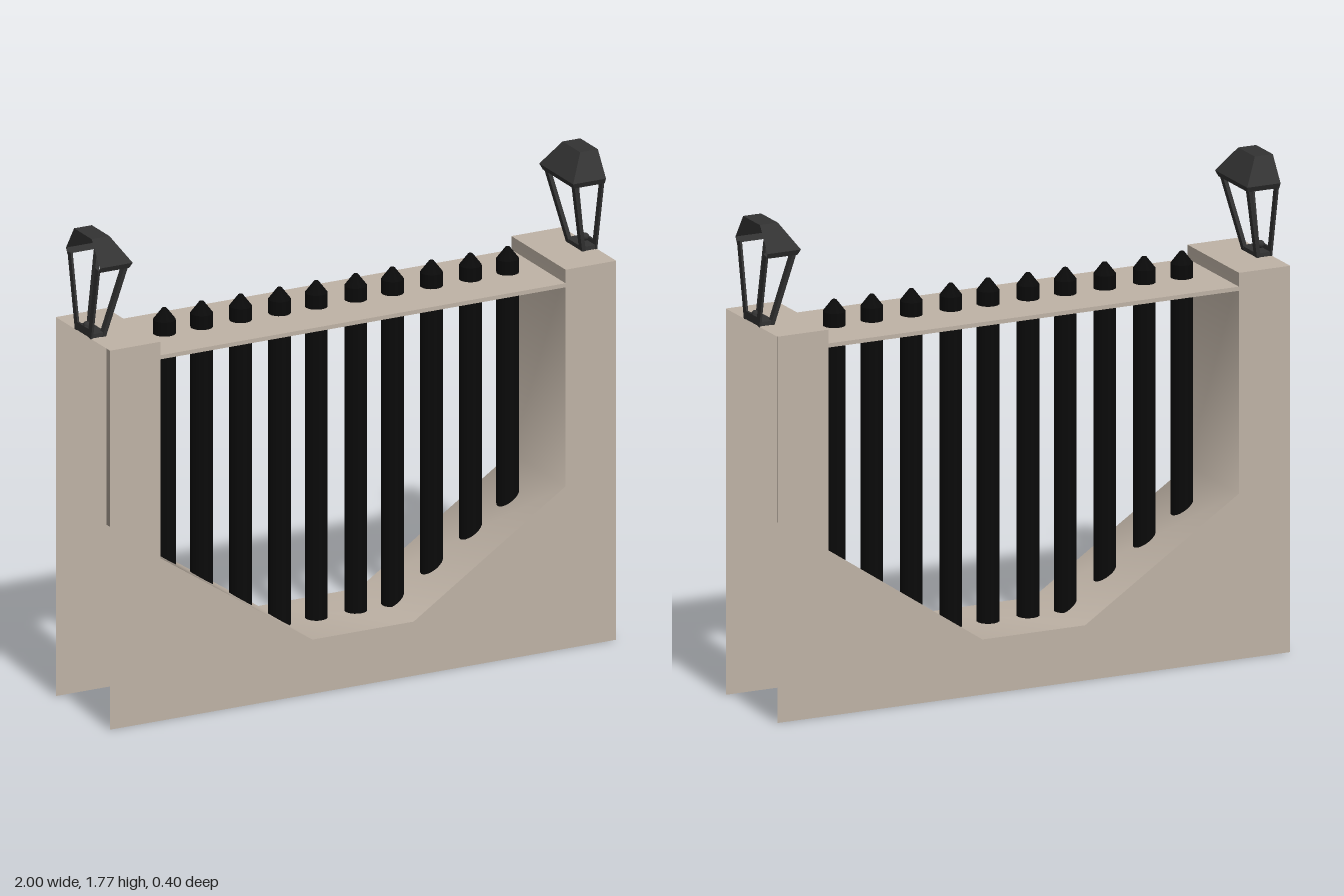
import * as THREE from 'three';

const stone = new THREE.MeshStandardMaterial({ color: 0xbfb3a6, side: THREE.DoubleSide });
stone.name = 'stone';
const iron = new THREE.MeshStandardMaterial({ color: 0x0a0a0a });
iron.name = 'blackIron';
const lampMetal = new THREE.MeshStandardMaterial({ color: 0x333333, side: THREE.DoubleSide });
lampMetal.name = 'lampMetal';

const V = (x, y, z) => new THREE.Vector3(x, y, z);

function add(parent, name, geometry, material, x = 0, y = 0, z = 0) {
  const mesh = new THREE.Mesh(geometry, material);
  mesh.name = name;
  mesh.position.set(x, y, z);
  parent.add(mesh);
  return mesh;
}

// Outline of the opening, from top left down, across and up again
const opening = [[-0.8, 1.4], [-0.8, 0.6], [-0.2, 0.2], [0.2, 0.2], [0.8, 0.6], [0.8, 1.4]];

// Strip lining the opening, with shared vertices for soft shading
function channelGeometry() {
  const positions = [], index = [];
  opening.forEach(([x, y], i) => {
    positions.push(x, y, 0.2, x, y, -0.2);
    if (i) {
      const a = 2 * i - 2;
      index.push(a, a + 2, a + 1, a + 2, a + 3, a + 1);
    }
  });
  const g = new THREE.BufferGeometry();
  g.setAttribute('position', new THREE.Float32BufferAttribute(positions, 3));
  g.setIndex(index);
  g.computeVertexNormals();
  return g;
}

// Faceted surface from four-cornered faces
function quads(faces) {
  const positions = [];
  for (const [a, b, c, d] of faces)
    for (const p of [a, b, c, a, c, d]) positions.push(p.x, p.y, p.z);
  const g = new THREE.BufferGeometry();
  g.setAttribute('position', new THREE.Float32BufferAttribute(positions, 3));
  g.computeVertexNormals();
  return g;
}

// Half lantern whose open side lies on x = 1
function makeLantern() {
  const lantern = new THREE.Group();

  // Rim and sloping roof: three-sided rings joined upwards
  const ring = (y, w, h) => [V(1, y, -h), V(1 - w, y, -h), V(1 - w, y, h), V(1, y, h)];
  const rings = [ring(1.66, 0.122, 0.115), ring(1.68, 0.13, 0.125), ring(1.77, 0.07, 0.065)];
  const faces = [];
  for (let r = 0; r < 2; r++)
    for (let i = 0; i < 3; i++)
      faces.push([rings[r][i], rings[r][i + 1], rings[r + 1][i + 1], rings[r + 1][i]]);
  const [a, b, c, d] = rings[2];
  faces.push([a, b, c, d]);
  add(lantern, 'lanternRoof', quads(faces), lampMetal);

  // Leaning struts at the four corners
  for (const s of [-1, 1])
    for (const [x0, x1] of [[0.948, 0.888], [0.996, 0.996]]) {
      const from = V(x0, 1.4, s * 0.048), to = V(x1, 1.67, s * 0.102);
      const dir = to.clone().sub(from);
      const width = x0 > 0.99 ? 0.008 : 0.014;
      const strut = add(lantern, 'lanternStrut',
        new THREE.BoxGeometry(width, dir.length(), 0.024), lampMetal);
      strut.position.copy(from).add(to).multiplyScalar(0.5);
      strut.quaternion.setFromUnitVectors(V(0, 1, 0), dir.normalize());
    }

  // Foot and burner
  add(lantern, 'lanternBase', new THREE.BoxGeometry(0.06, 0.015, 0.12), lampMetal, 0.97, 1.4085, 0);
  add(lantern, 'lanternLowerRail', new THREE.BoxGeometry(0.008, 0.03, 0.11), lampMetal, 0.996, 1.416, 0);
  add(lantern, 'lanternBurner', new THREE.SphereGeometry(0.014, 10, 8), lampMetal, 0.985, 1.43, 0);
  return lantern;
}

export function createModel() {
  const model = new THREE.Group();
  model.name = 'fenceSection';

  // Front and back wall faces
  const outline = new THREE.Shape([[-1, 0], [1, 0], [1, 1.4], ...[...opening].reverse(), [-1, 1.4]]
    .map(([x, y]) => new THREE.Vector2(x, y)));
  const face = new THREE.ShapeGeometry(outline);
  add(model, 'frontWall', face, stone, 0, 0, 0.2);
  add(model, 'backWall', face, stone, 0, 0, -0.2).rotation.y = Math.PI;

  // Lining of the opening and the rail across its top
  add(model, 'openingLining', channelGeometry(), stone);
  add(model, 'topRail', new THREE.BoxGeometry(1.6, 0.015, 0.4), stone, 0, 1.3425, 0);

  // Pillar caps and lanterns, one at each end
  for (const s of [-1, 1]) {
    const cap = add(model, s > 0 ? 'leftPillarTop' : 'rightPillarTop',
      new THREE.PlaneGeometry(0.2, 0.4), stone, s * 0.9, 1.4, 0);
    cap.rotation.x = -Math.PI / 2;
    const lantern = makeLantern();
    lantern.name = s > 0 ? 'leftLantern' : 'rightLantern';
    if (s < 0) lantern.rotation.y = Math.PI;
    model.add(lantern);
  }

  // Round bars with pointed tips
  const shaft = new THREE.CylinderGeometry(0.04, 0.04, 1.2, 20);
  const tip = new THREE.CylinderGeometry(0.008, 0.04, 0.042, 20);
  for (const s of [-1, 1])
    for (const x of [0.078, 0.223, 0.377, 0.531, 0.678]) {
      add(model, 'bar', shaft, iron, s * x, 0.801, 0);
      add(model, 'barTip', tip, iron, s * x, 1.422, 0);
    }
  return model;
}
